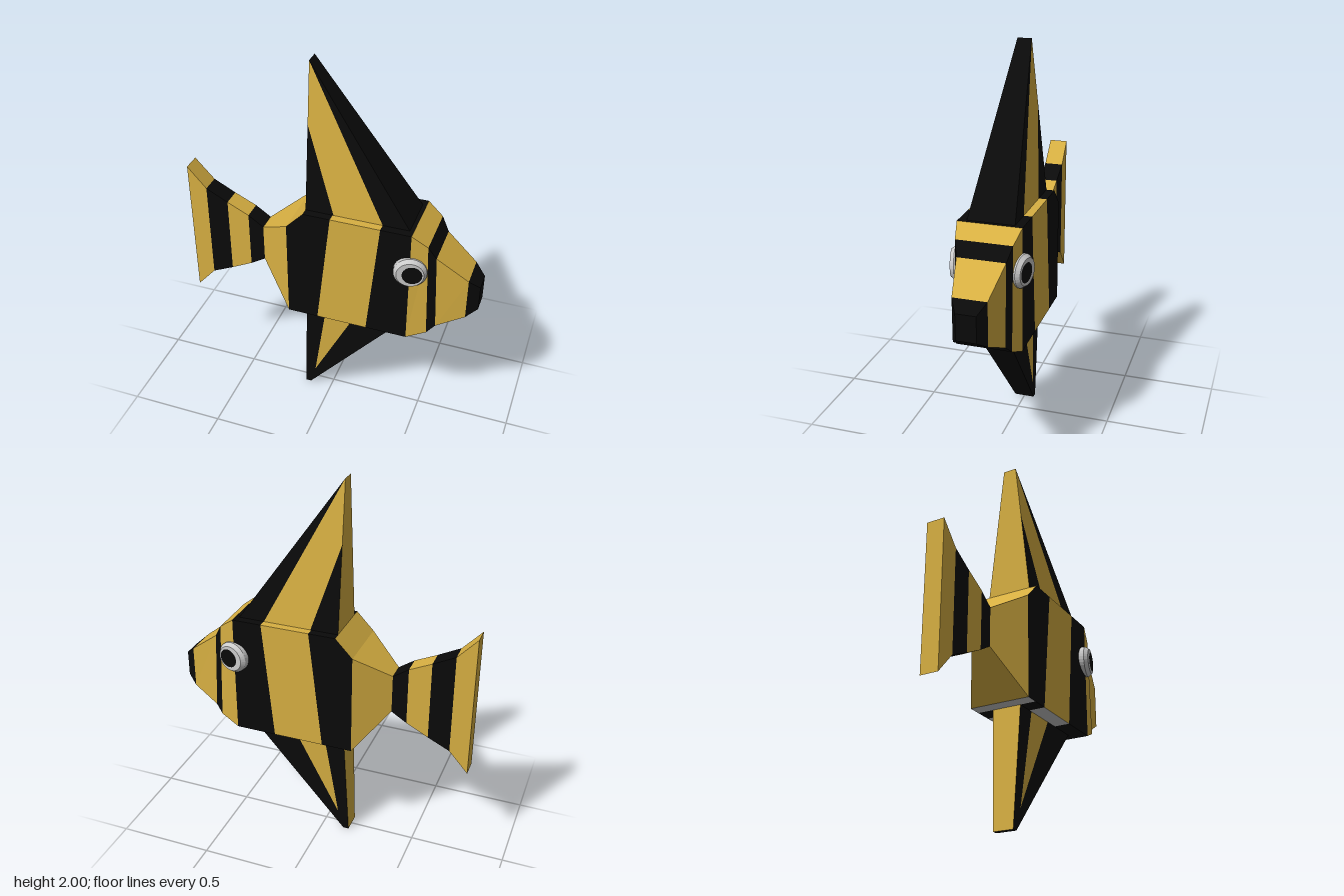
import * as THREE from 'three';

const yellow = new THREE.MeshStandardMaterial({ color: 0xd8b042, flatShading: true });
const black = new THREE.MeshStandardMaterial({ color: 0x0a0a0a, flatShading: true });
const grey = new THREE.MeshStandardMaterial({ color: 0xcccccc });

// A named part made of flat convex panels, one mesh per material.
function panelPart(name) {
  const lists = new Map();
  const add = (material, points) => {
    if (!lists.has(material)) lists.set(material, []);
    const out = lists.get(material);
    for (let i = 1; i < points.length - 1; i++) out.push(...points[0], ...points[i], ...points[i + 1]);
  };
  const flip = ([x, y, z]) => [x, y, -z];
  return {
    add,
    // the same panel on both flanks
    addBoth(material, points) {
      add(material, points);
      add(material, points.map(flip).reverse());
    },
    // a strip across the thickness, from edge point a to edge point b
    addEdge(material, a, b) {
      add(material, [a, flip(a), flip(b), b]);
    },
    build() {
      const group = new THREE.Group();
      group.name = name;
      for (const [material, positions] of lists) {
        const geometry = new THREE.BufferGeometry();
        geometry.setAttribute('position', new THREE.Float32BufferAttribute(positions, 3));
        geometry.computeVertexNormals();
        const mesh = new THREE.Mesh(geometry, material);
        mesh.name = name + (material === yellow ? 'Yellow' : material === black ? 'Black' : 'Grey');
        group.add(mesh);
      }
      return group;
    },
  };
}

// Rectangular cross-sections: [bottom x, bottom y, top x, top y, half width].
// bands[i] = [side, top, bottom] materials between sections i and i + 1.
function loft(name, sections, bands, startCap, endCap) {
  const part = panelPart(name);
  const low = sections.map(([x, y, , , h]) => [x, y, h]);
  const high = sections.map(([, , x, y, h]) => [x, y, h]);
  bands.forEach(([side, top = side, bottom = side], i) => {
    part.addBoth(side, [low[i], low[i + 1], high[i + 1], high[i]]);
    part.addEdge(top, high[i + 1], high[i]);
    part.addEdge(bottom, low[i], low[i + 1]);
  });
  const n = sections.length - 1;
  if (startCap) part.addEdge(startCap, high[0], low[0]);
  if (endCap) part.addEdge(endCap, low[n], high[n]);
  return part.build();
}

// Striped tail
function makeTail() {
  return loft('tail', [
    [-0.78, 0.54, -0.78, 1.305, 0.047],
    [-0.68, 0.655, -0.68, 1.195, 0.049],
    [-0.565, 0.71, -0.565, 1.135, 0.049],
    [-0.45, 0.77, -0.45, 1.08, 0.05],
    [-0.37, 0.82, -0.37, 1.025, 0.05],
  ], [[yellow], [black], [yellow], [black]], yellow, null);
}

// Body and head, from the tail root to the snout
function makeBody() {
  return loft('body', [
    [-0.37, 0.82, -0.37, 1.025, 0.05],
    [-0.195, 0.605, -0.195, 1.145, 0.16],
    [-0.125, 0.605, -0.105, 1.24, 0.16],
    [-0.035, 0.605, 0.035, 1.24, 0.16],
    [0.23, 0.605, 0.29, 1.24, 0.16],
    [0.445, 0.605, 0.445, 1.24, 0.16],
    [0.545, 0.65, 0.525, 1.18, 0.14],
    [0.585, 0.69, 0.565, 1.11, 0.12],
    [0.725, 0.76, 0.725, 0.985, 0.085],
    [0.78, 0.80, 0.78, 0.935, 0.05],
  ], [
    [yellow], [black, yellow, grey], [black], [yellow, yellow, grey], [black],
    [yellow], [black], [yellow], [black],
  ], null, black);
}

// Tall back fin, thinning towards its tip
function makeTopFin() {
  const part = panelPart('topFin');
  const p = (x, y) => [x, y, THREE.MathUtils.mapLinear(y, 1.24, 2, 0.118, 0.036)];
  const root = p(-0.105, 1.24), mid = p(-0.105, 1.69), tip = p(-0.105, 2);
  const a = p(0.04, 1.24), b = p(0.29, 1.24), front = p(0.425, 1.24);
  part.addBoth(black, [root, a, mid]);
  part.addBoth(yellow, [mid, a, b, tip]);
  part.addBoth(black, [b, front, tip]);
  part.addEdge(black, front, tip);
  part.addEdge(yellow, tip, root);
  return part.build();
}

// Belly fin with a small blunt tip
function makeBottomFin() {
  const part = panelPart('bottomFin');
  const p = (x, y) => [x, y, THREE.MathUtils.mapLinear(y, 0, 0.605, 0.053, 0.077)];
  const root = p(-0.125, 0.605), a = p(-0.015, 0.605), b = p(0.155, 0.605), front = p(0.385, 0.605);
  const tipBack = p(-0.15, 0), tipFront = p(-0.12, 0), point = p(-0.09, 0.11);
  part.addBoth(yellow, [point, b, a]);
  part.addBoth(black, [tipBack, point, a, root]);
  part.addBoth(black, [tipBack, tipFront, point]);
  part.addBoth(black, [tipFront, front, b, point]);
  part.addEdge(black, tipFront, front);
  part.addEdge(yellow, root, tipBack);
  part.addEdge(black, tipBack, tipFront);
  return part.build();
}

// Eye: bevelled grey disc and dark pupil, turned a little forwards
function makeEye(side) {
  const eye = new THREE.Group();
  eye.name = side > 0 ? 'frontEye' : 'backEye';
  const profile = [[0.083, -0.03], [0.083, 0.015], [0.068, 0.035], [0, 0.035]];
  const disc = new THREE.Mesh(
    new THREE.LatheGeometry(profile.map(([r, y]) => new THREE.Vector2(r, y)), 32).rotateX(Math.PI / 2),
    new THREE.MeshStandardMaterial({ color: 0xcccccc, flatShading: true, side: THREE.DoubleSide }));
  disc.name = 'eyeDisc';
  const pupil = new THREE.Mesh(new THREE.CircleGeometry(0.05, 32), black);
  pupil.name = 'pupil';
  pupil.position.set(side * 0.01, 0, 0.037);
  eye.add(disc, pupil);
  eye.position.set(0.447, 1.03, side * 0.153);
  eye.rotation.y = side > 0 ? 0.23 : Math.PI - 0.23;
  return eye;
}

export function createModel() {
  const fish = new THREE.Group();
  fish.name = 'fish';
  fish.add(makeTail(), makeBody(), makeTopFin(), makeBottomFin(), makeEye(1), makeEye(-1));
  return fish;
}
